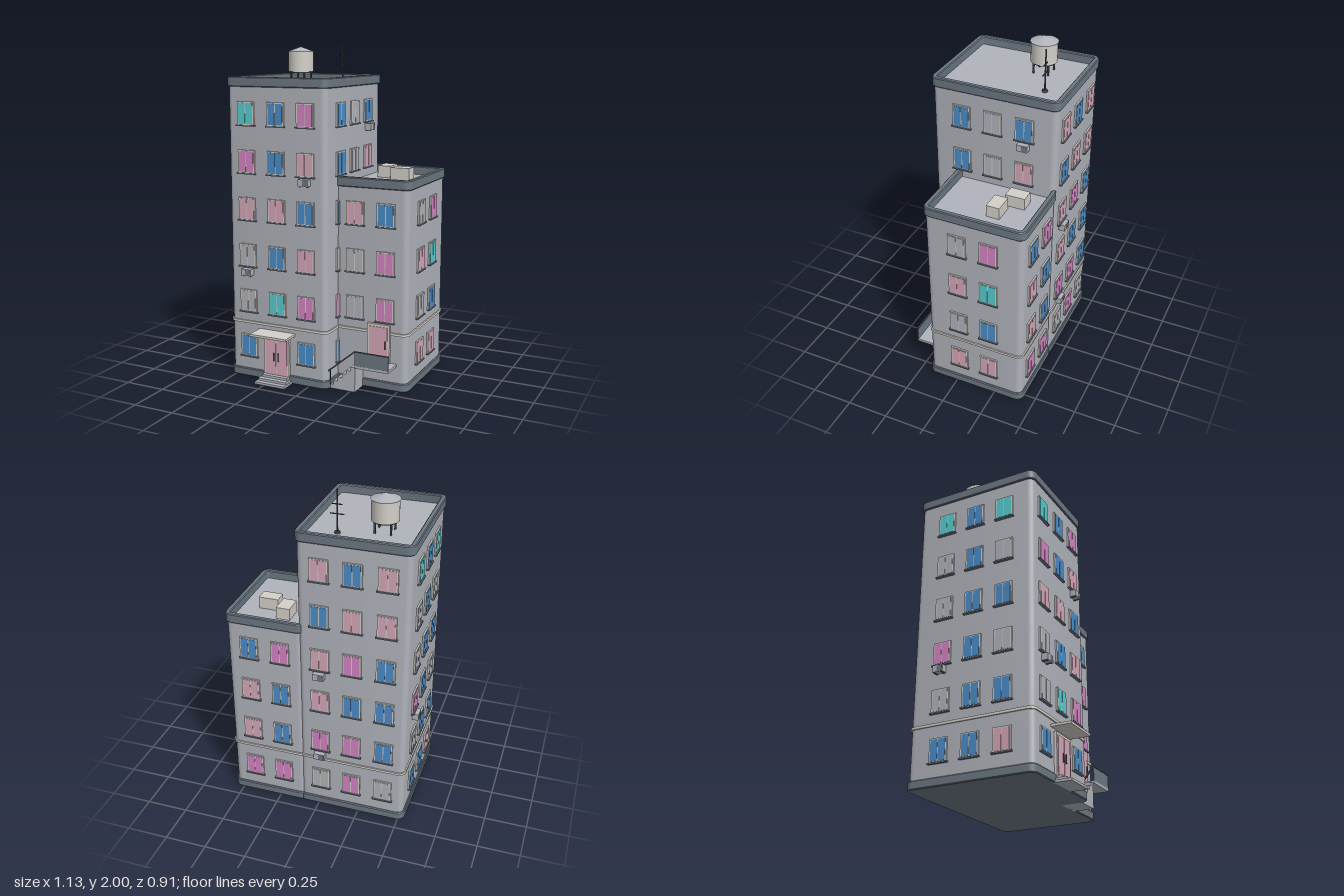
import * as THREE from 'three';
import { toCreasedNormals } from 'three/addons/utils/BufferGeometryUtils.js';

const mat = (name, color) => Object.assign(new THREE.MeshStandardMaterial({ color }), { name });

export function createModel() {
  const M = {
    wall: mat('wall grey', 0xb0b3bb),
    slate: mat('slate trim', 0x6c7883),
    cream: mat('cream', 0xd3cfc8),
    dark: mat('dark metal', 0x454b50),
    b: mat('blue glass', 0x4b8dc9),
    m: mat('magenta glass', 0xd583c4),
    p: mat('pink glass', 0xd6a6ba),
    c: mat('cyan glass', 0x55cdd2),
  };
  M.g = M.wall; // unlit grey glass
  const model = new THREE.Group();
  model.name = 'apartmentBuilding';

  const add = (parent, name, geo, material, x = 0, y = 0, z = 0) => {
    const mesh = new THREE.Mesh(geo, material);
    mesh.name = name;
    mesh.position.set(x, y, z);
    parent.add(mesh);
    return mesh;
  };
  const box = (parent, name, material, w, h, d, x, y, z) =>
    add(parent, name, new THREE.BoxGeometry(w, h, d), material, x, y, z);
  const group = (name, parent = model) => {
    const g = new THREE.Group();
    g.name = name;
    parent.add(g);
    return g;
  };

  // Rounded rectangle on the ground plan
  const outline = (target, x0, x1, z0, z1, r) => {
    const a = -z1, b = -z0, h = Math.PI / 2;
    target.moveTo(x0 + r, a);
    target.absarc(x1 - r, a + r, r, -h, 0);
    target.absarc(x1 - r, b - r, r, 0, h);
    target.absarc(x0 + r, b - r, r, h, 2 * h);
    target.absarc(x0 + r, a + r, r, 2 * h, 3 * h);
    target.closePath();
    return target;
  };
  // Slab between two heights, optionally hollowed to leave a rim
  const slab = (name, material, [x0, x1, z0, z1], grow, y0, y1, rim = 0, bevel = 0) => {
    const e = grow - bevel;
    const shape = outline(new THREE.Shape(), x0 - e, x1 + e, z0 - e, z1 + e, 0.035 + e);
    if (rim) {
      const i = rim - grow - bevel;
      shape.holes.push(outline(new THREE.Path(), x0 + i, x1 - i, z0 + i, z1 - i, 0.015));
    }
    const geo = new THREE.ExtrudeGeometry(shape, {
      depth: y1 - y0 - 2 * bevel, curveSegments: 5, bevelEnabled: bevel > 0,
      bevelSize: bevel, bevelThickness: bevel, bevelSegments: 1,
    });
    geo.rotateX(-Math.PI / 2);
    add(model, name, toCreasedNormals(geo, 0.6), material, 0, y0 + bevel, 0);
  };

  // Tower and wing
  const block = (name, plan, top) => {
    slab(name + 'Walls', M.wall, plan, 0, 0.02, top - 0.05);
    slab(name + 'Plinth', M.slate, plan, 0.01, 0, 0.05, 0, 0.005);
    slab(name + 'Belt', M.cream, plan, 0.008, 0.335, 0.35);
    slab(name + 'Parapet', M.slate, plan, 0.01, top - 0.057, top, 0.03, 0.005);
  };
  block('tower', [-0.525, 0.115, -0.42, 0.335], 1.8);
  block('wing', [0.09, 0.55, -0.42, 0.18], 1.24);

  // Windows: rows run from the top floor down, letters pick the glass
  const windowUnit = (parent, x, y, z, glass) => {
    const w = group('window', parent);
    w.position.set(x, y, z);
    box(w, 'windowFrame', M.cream, 0.11, 0.135, 0.012, 0, 0, 0.003);
    for (const s of [-1, 1])
      box(w, 'windowPane', M[glass], 0.044, 0.121, 0.004, s * 0.0245, 0, 0.009);
    box(w, 'windowSill', M.slate, 0.122, 0.008, 0.02, 0, -0.07, 0.006);
  };
  const facade = (name, ry, dist, columns, rows) => {
    const f = group(name);
    f.rotation.y = ry;
    rows.forEach((row, r) => columns.forEach((u, i) => {
      if (row[i] !== '-') windowUnit(f, u, 0.197 + 0.279 * (rows.length - 1 - r), dist, row[i]);
    }));
  };
  const Q = Math.PI / 2;
  facade('towerFrontWindows', 0, 0.335, [-0.4, -0.205, -0.015],
    ['cbm', 'mbp', 'ppb', 'gbp', 'gcm', 'b-b']);
  facade('towerLeftWindows', Q, 0.115, [-0.155, 0.037, 0.23],
    ['bgb', 'bgp', 'b--', 'g--', 'm--', 'b--']);
  facade('towerBackWindows', 2 * Q, 0.42, [0.015, 0.205, 0.4],
    ['pbp', 'bpp', 'pmb', 'pbb', 'mmb', 'gmg']);
  facade('towerRightWindows', -Q, 0.525, [-0.23, -0.037, 0.155],
    ['cbc', 'gbg', 'gbb', 'mbg', 'gbb', 'bbp']);
  facade('wingFrontWindows', 0, 0.18, [0.225, 0.415], ['pb', 'gm', 'gm', '--']);
  facade('wingLeftWindows', Q, 0.55, [0.02, 0.212], ['gm', 'pc', 'gb', 'pp']);
  facade('wingBackWindows', 2 * Q, 0.42, [-0.415, -0.225], ['bm', 'pb', 'pb', 'mm']);

  // Air conditioners: rotation, wall distance, position along wall, height
  for (const [ry, d, u, y] of [
    [0, 0.335, -0.398, 0.655], [0, 0.335, -0.015, 1.215], [Q, 0.115, 0.23, 1.492],
    [-Q, 0.525, -0.235, 0.655], [2 * Q, 0.42, 0.014, 0.935], [2 * Q, 0.42, 0.014, 0.375],
  ]) {
    const ac = group('airConditioner');
    ac.rotation.y = ry;
    box(ac, 'airConditionerCase', M.wall, 0.065, 0.04, 0.04, u, y, d + 0.018);
    box(ac, 'airConditionerGrille', M.slate, 0.032, 0.03, 0.003, u + 0.013, y, d + 0.038);
    for (const s of [-1, 1])
      box(ac, 'airConditionerBracket', M.dark, 0.005, 0.005, 0.036, u + s * 0.022, y - 0.022, d + 0.016);
  }

  // Doors
  const door = (name, x, y0, y1, z, w, leaves) => {
    const g = group(name), h = y1 - y0, leaf = (w - 0.02) / leaves;
    box(g, 'doorFrame', M.cream, w, h, 0.024, x, y0 + h / 2, z + 0.004);
    for (let i = 0; i < leaves; i++) {
      const lx = x + (i - (leaves - 1) / 2) * leaf;
      box(g, 'doorLeaf', M.p, leaf - 0.006, h - 0.018, 0.005, lx, y0 + h / 2 - 0.006, z + 0.017);
      const side = leaves === 2 && i === 1 ? -1 : 1;
      box(g, 'doorHandle', M.dark, 0.006, 0.05, 0.008, lx + side * (leaf / 2 - 0.015), y0 + h * 0.48, z + 0.022);
    }
  };
  door('mainDoor', -0.21, 0.035, 0.28, 0.335, 0.17, 2);
  door('sideDoor', 0.38, 0.165, 0.395, 0.18, 0.14, 1);
  box(model, 'mainCanopy', M.cream, 0.24, 0.014, 0.125, -0.21, 0.303, 0.392);
  for (let i = 0; i < 3; i++)
    box(model, 'entranceStep', M.wall, 0.2 - i * 0.016, 0.014, 0.11 - i * 0.03, -0.21, 0.007 + i * 0.014, 0.385 - i * 0.015);

  // Side stair, landing and railings
  const stair = group('sideStair');
  const steps = 6, run = 0.165 / steps;
  for (let i = 0; i < steps; i++) {
    const h = 0.15 * (i + 1) / steps;
    box(stair, 'stairStep', M.wall, run, h, 0.125, 0.115 + run * (i + 0.5), h / 2, 0.2375);
  }
  box(stair, 'landing', M.wall, 0.21, 0.016, 0.135, 0.385, 0.157, 0.2405);
  box(stair, 'landingPanel', M.slate, 0.21, 0.082, 0.006, 0.385, 0.205, 0.304);
  box(stair, 'landingRail', M.dark, 0.21, 0.006, 0.01, 0.385, 0.247, 0.304);
  const rail = box(stair, 'stairRail', M.dark, 0.22, 0.008, 0.01, 0.198, 0.178, 0.304);
  rail.rotation.z = Math.atan2(0.14, 0.165);
  box(stair, 'railPost', M.dark, 0.006, 0.09, 0.006, 0.125, 0.068, 0.303);

  // Water tank on the roof
  const tank = group('waterTank');
  tank.position.set(-0.305, 1.75, -0.165);
  add(tank, 'tankBody', new THREE.CylinderGeometry(0.077, 0.077, 0.122, 32), M.cream, 0, 0.129, 0);
  add(tank, 'tankRoof', new THREE.ConeGeometry(0.082, 0.03, 32), M.wall, 0, 0.204, 0);
  add(tank, 'tankBase', new THREE.CylinderGeometry(0.07, 0.07, 0.01, 32), M.dark, 0, 0.066, 0);
  for (const sx of [-1, 1]) for (const sz of [-1, 1])
    box(tank, 'tankLeg', M.dark, 0.01, 0.068, 0.01, sx * 0.045, 0.033, sz * 0.045);

  // Antenna
  const antenna = group('antenna');
  antenna.position.set(-0.07, 1.75, -0.268);
  add(antenna, 'antennaBase', new THREE.CylinderGeometry(0.015, 0.017, 0.012, 16), M.dark, 0, 0.006, 0);
  add(antenna, 'antennaMast', new THREE.CylinderGeometry(0.004, 0.005, 0.25, 10), M.dark, 0, 0.125, 0);
  box(antenna, 'antennaBar', M.dark, 0.08, 0.005, 0.005, 0, 0.11, 0);
  box(antenna, 'antennaBar', M.dark, 0.055, 0.005, 0.005, 0, 0.165, 0);

  // Vent boxes on the wing roof
  box(model, 'roofVent', M.cream, 0.082, 0.072, 0.118, 0.244, 1.225, -0.251);
  box(model, 'roofVent', M.cream, 0.118, 0.072, 0.08, 0.367, 1.225, -0.181);

  return model;
}
